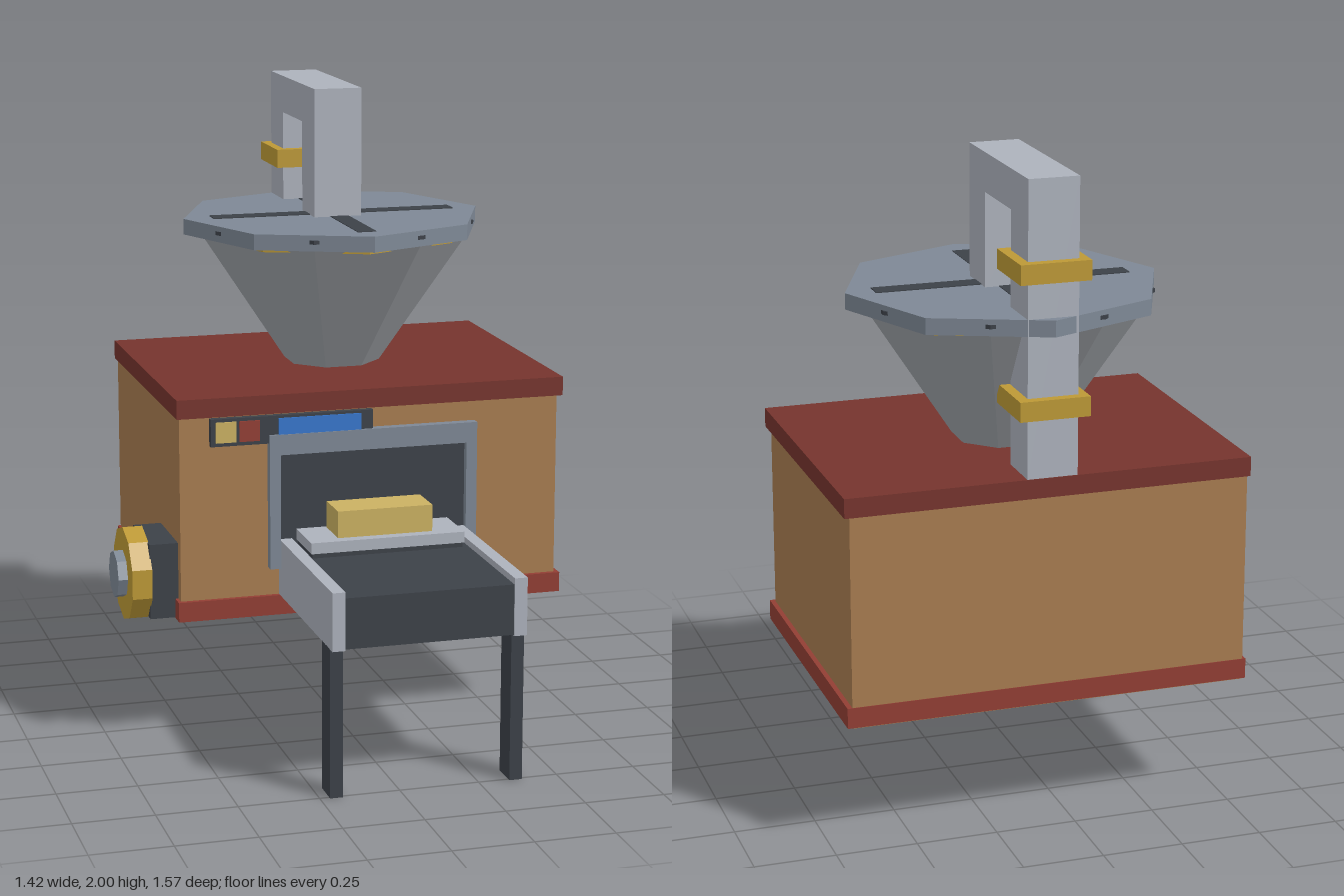
import * as THREE from 'three';

const mat = (name, color, extra = {}) => {
  const m = new THREE.MeshStandardMaterial({ color, ...extra });
  m.name = name;
  return m;
};

export function createModel() {
  const brown = mat('brown', 0xa87c50);
  const darkRed = mat('dark red', 0x76342d);
  const red = mat('red', 0x923e34);
  const silver = mat('silver', 0xadb2bc);
  const steel = mat('steel', 0x7e8895);
  const funnelGrey = mat('funnel grey', 0xa0a4a9);
  const dark = mat('charcoal', 0x3c4148);
  const gold = mat('gold', 0xbd9936);
  const paleGold = mat('pale gold', 0xcbb162);
  const blue = mat('blue', 0x3676cc);

  const model = new THREE.Group();
  model.name = 'foundryMachine';

  const add = (name, geometry, material, parent = model) => {
    const mesh = new THREE.Mesh(geometry, material);
    mesh.name = name;
    parent.add(mesh);
    return mesh;
  };
  // Box given by its limits on each axis
  const box = (name, material, [x0, x1], [y0, y1], [z0, z1]) => {
    const mesh = add(name, new THREE.BoxGeometry(x1 - x0, y1 - y0, z1 - z0), material);
    mesh.position.set((x0 + x1) / 2, (y0 + y1) / 2, (z0 + z1) / 2);
    return mesh;
  };
  // Flat-sided prism or frustum, non-indexed so every face is crisp
  const prism = (rTop, rBottom, height, sides, turn = 0) => {
    const g = new THREE.CylinderGeometry(rTop, rBottom, height, sides).rotateY(turn).toNonIndexed();
    g.computeVertexNormals();
    return g;
  };

  // Housing with base and roof trim
  box('housing', brown, [-0.535, 0.695], [0.4, 1.06], [-0.755, 0.17]);
  box('baseTrim', red, [-0.545, 0.71], [0.402, 0.465], [-0.757, 0.185]);
  box('roof', darkRed, [-0.545, 0.71], [1.05, 1.11], [-0.757, 0.185]);

  // Control panel with coloured keys and a screen
  box('controlPanel', dark, [-0.44, 0.08], [0.958, 1.045], [0.165, 0.192]);
  box('yellowKey', paleGold, [-0.425, -0.36], [0.97, 1.035], [0.19, 0.197]);
  box('redKey', red, [-0.35, -0.285], [0.97, 1.035], [0.19, 0.197]);
  box('screen', blue, [-0.225, 0.04], [0.975, 1.037], [0.19, 0.197]);

  // Furnace mouth: frame with an opening and a dark recess
  const rect = (Type, x0, x1, y0, y1) => new Type([
    new THREE.Vector2(x0, y0), new THREE.Vector2(x1, y0),
    new THREE.Vector2(x1, y1), new THREE.Vector2(x0, y1)]);
  const frame = rect(THREE.Shape, -0.255, 0.42, 0.555, 0.985);
  frame.holes.push(rect(THREE.Path, -0.22, 0.385, 0.59, 0.92));
  add('mouthFrame', new THREE.ExtrudeGeometry(frame, { depth: 0.035, bevelEnabled: false }), steel)
    .position.z = 0.165;
  box('mouthRecess', dark, [-0.23, 0.395], [0.57, 0.93], [0.165, 0.178]);

  // Delivery conveyor
  box('conveyorBelt', dark, [-0.18, 0.345], [0.468, 0.625], [0.17, 0.78]);
  for (const [side, x] of [['right', -0.2], ['left', 0.365]]) {
    box(side + 'ConveyorRail', silver, [x - 0.02, x + 0.02], [0.465, 0.645], [0.17, 0.785]);
    box(side + 'ConveyorLeg', dark, [x - 0.02, x + 0.02], [0, 0.466], [0.67, 0.76]);
  }
  box('tray', silver, [-0.165, 0.33], [0.64, 0.675], [0.17, 0.355]);
  box('trayFoot', dark, [-0.16, 0.325], [0.62, 0.642], [0.17, 0.35]);
  box('ingot', paleGold, [-0.07, 0.235], [0.675, 0.76], [0.19, 0.32]);

  // Hopper: funnel, collar and octagonal lid
  const hopper = new THREE.Group();
  hopper.name = 'hopper';
  hopper.position.set(0.083, 0, -0.295);
  model.add(hopper);
  const layer = (name, material, rTop, rBottom, y0, y1, turn = 0) => {
    add(name, prism(rTop, rBottom, y1 - y0, 8, turn), material, hopper).position.y = (y0 + y1) / 2;
  };
  layer('funnel', funnelGrey, 0.45, 0.152, 1.105, 1.545, Math.PI / 8);
  layer('collar', gold, 0.437, 0.437, 1.526, 1.542);
  layer('lid', steel, 0.49, 0.49, 1.54, 1.59);
  layer('lidStuds', dark, 0.459, 0.459, 1.562, 1.574, Math.PI / 8);

  // Crossed slots on the lid
  box('slotAcross', dark, [-0.315, 0.485], [1.587, 1.593], [-0.325, -0.265]);
  box('slotAlong', dark, [0.055, 0.115], [1.587, 1.592], [-0.695, 0.105]);

  // Feed pipe arching from the roof to the lid, with clamps
  const pipe = new THREE.Shape([
    [0.755, 1.1], [0.755, 2], [0.21, 2], [0.21, 1.58], [0.36, 1.58],
    [0.36, 1.88], [0.6, 1.88], [0.6, 1.1]].map(([z, y]) => new THREE.Vector2(z, y)));
  const pipeGeometry = new THREE.ExtrudeGeometry(pipe, { depth: 0.155, bevelEnabled: false })
    .rotateY(Math.PI / 2); // shape x runs towards -z
  add('feedPipe', pipeGeometry, silver).position.x = 0.003;
  for (const y of [1.295, 1.7]) {
    box('pipeClamp', gold, [-0.025, 0.19], [y, y + 0.06], [-0.785, -0.57]);
  }

  // Side drive: motor block, hand wheel and hub
  box('motorBlock', dark, [-0.625, -0.53], [0.405, 0.645], [-0.11, 0.135]);
  const disc = (name, material, r, sides, x0, x1) => {
    const g = prism(r, r, x1 - x0, sides, Math.PI / 2).rotateZ(Math.PI / 2);
    add(name, g, material).position.set((x0 + x1) / 2, 0.525, 0.013);
  };
  disc('driveWheel', gold, 0.15, 10, -0.685, -0.622);
  disc('wheelHub', steel, 0.076, 8, -0.715, -0.68);

  return model;
}
